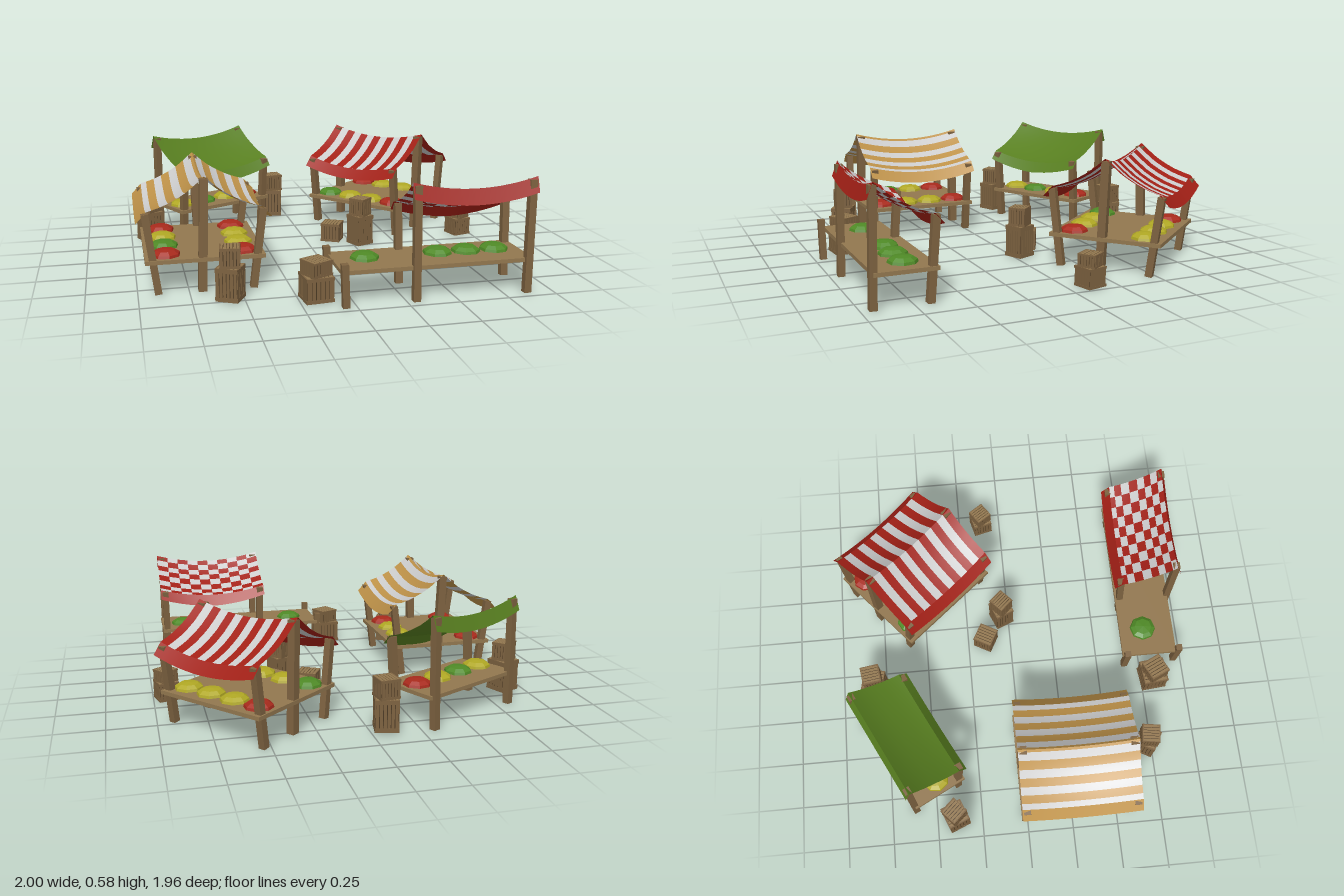
import * as THREE from 'three';

const mat = (color, extra = {}) => new THREE.MeshStandardMaterial({ color, ...extra });
const cloth2 = { side: THREE.DoubleSide };
const RED = mat(0xa32016, cloth2), WHITE = mat(0xcccccc, cloth2);
const GOLD = mat(0xbd9148, cloth2), GREEN = mat(0x587f20, cloth2);
const WOOD = mat(0x7d6240), BOARD = mat(0x92774f), DARK = mat(0x4a3822);
const FRUIT = {
  r: mat(0xa82a1c, { flatShading: true }),
  y: mat(0xb0a824, { flatShading: true }),
  g: mat(0x4f8a26, { flatShading: true }),
};
const TABLE_TOP = 0.175;

function add(parent, name, geometry, material, x = 0, y = 0, z = 0) {
  const m = new THREE.Mesh(geometry, material);
  m.name = name;
  m.position.set(x, y, z);
  parent.add(m);
  return m;
}

function group(parent, name, x = 0, z = 0, turn = 0) {
  const g = new THREE.Group();
  g.name = name;
  g.position.set(x, 0, z);
  g.rotation.y = turn;
  parent.add(g);
  return g;
}

// Square timber from one point to another
function post(parent, name, from, to, size = 0.036) {
  const a = new THREE.Vector3(...from), b = new THREE.Vector3(...to);
  const dir = b.clone().sub(a);
  const m = add(parent, name, new THREE.BoxGeometry(size, dir.length(), size), WOOD);
  m.position.copy(a).add(b).multiplyScalar(0.5);
  m.quaternion.setFromUnitVectors(new THREE.Vector3(0, 1, 0), dir.normalize());
}

// Sagging cloth: a profile of [z, y] points swept along x; pick(i, j) gives each cell's material
function cloth(parent, name, profile, length, rows, cols, pick, fringe = 0) {
  const path = new THREE.SplineCurve(profile.map(p => new THREE.Vector2(...p)));
  const pos = [], cells = new Map();
  for (let j = 0; j <= rows; j++) {
    const p = path.getPoint(j / rows);
    for (let i = 0; i <= cols; i++) {
      const t = 2 * i / cols - 1;
      const sag = 0.045 * (1 - t * t) + fringe * (j / rows) * (1 - Math.abs(t));
      pos.push(t * length / 2, p.y - sag, p.x);
    }
  }
  const all = [];
  for (let j = 0; j < rows; j++) {
    for (let i = 0; i < cols; i++) {
      const a = j * (cols + 1) + i, c = a + cols + 1;
      const quad = [a, c, a + 1, a + 1, c, c + 1];
      const m = pick(i, j);
      if (!cells.has(m)) cells.set(m, []);
      cells.get(m).push(...quad);
      all.push(...quad);
    }
  }
  const base = new THREE.BufferGeometry();
  base.setAttribute('position', new THREE.Float32BufferAttribute(pos, 3));
  base.setIndex(all);
  base.computeVertexNormals();
  for (const [m, index] of cells) {
    const g = base.clone();
    g.setIndex(index);
    add(parent, name, g, m);
  }
}

// Faceted heap of produce
const heapShape = new THREE.LatheGeometry(
  [[0.074, 0], [0.07, 0.014], [0.048, 0.029], [0, 0.034]].map(p => new THREE.Vector2(...p)), 8);
function heap(parent, kind, x, z) {
  const m = add(parent, 'produceHeap', heapShape, FRUIT[kind], x, TABLE_TOP - 0.001, z);
  m.rotation.y = Math.PI / 8 + x;
}

function table(parent, x, width, depth) {
  add(parent, 'tableTop', new THREE.BoxGeometry(width, 0.02, depth), BOARD, x, TABLE_TOP - 0.01, 0);
}

// Stall with a ridged roof; the ridge runs along local z
function gableStall(parent, name, x, z, turn, pick, trim, rows, cols, produce) {
  const stall = group(parent, name, x, z, turn);
  table(stall, 0, 0.59, 0.63);
  for (const end of [-1, 1]) {
    post(stall, 'ridgePost', [-0.02 * end, 0, end * 0.29], [0, 0.565, end * 0.29], 0.042);
    for (const s of [-1, 1])
      post(stall, 'cornerPost', [s * 0.235, 0, end * 0.29], [s * 0.287, 0.405, end * 0.29]);
  }
  for (const s of [-1, 1]) {
    const side = group(stall, 'roofSide', 0, 0, s * Math.PI / 2);
    cloth(side, 'roofCloth', [[0, 0.58], [0.09, 0.505], [0.19, 0.45], [0.28, 0.42]], 0.63, rows, cols, pick);
    cloth(side, 'valance', [[0.28, 0.42], [0.33, 0.365]], 0.63, 1, 12, () => trim);
    [...produce[s < 0 ? 0 : 1]].forEach((k, i) => heap(stall, k, s * 0.19, 0.225 - i * 0.15));
  }
}

// Stall with a single slope; the high edge faces local +z
function leanToStall(parent, name, x, z, turn, pick, trim, rows, cols, produce) {
  const stall = group(parent, name, x, z, turn);
  for (const s of [-1, 1]) {
    post(stall, 'tallPost', [s * 0.285, 0, 0.155], [s * 0.29, 0.565, 0.147]);
    post(stall, 'shortPost', [s * 0.285, 0, -0.115], [s * 0.29, 0.41, -0.145]);
  }
  cloth(stall, 'roofCloth', [[-0.135, 0.42], [-0.07, 0.44], [0.02, 0.485], [0.09, 0.53], [0.148, 0.58]],
    0.63, rows, cols, (i, j) => pick(i, j));
  cloth(stall, 'highValance', [[0.148, 0.58], [0.176, 0.505]], 0.63, 1, 12, () => trim);
  cloth(stall, 'lowValance', [[-0.135, 0.42], [-0.178, 0.37]], 0.63, 1, 12, () => trim, 0.01);
  produce.forEach(([k, px]) => heap(stall, k, px, -0.02));
  return stall;
}

// Slatted crate with rims and lid boards
function crate(parent, width, height, y, turn) {
  const c = group(parent, 'crate', 0, 0, turn);
  c.position.y = y;
  add(c, 'crateCore', new THREE.BoxGeometry(width * 0.93, height * 0.96, width * 0.93), DARK, 0, height / 2);
  const n = 6, pitch = width * 0.94 / n;
  const slat = new THREE.BoxGeometry(pitch * 0.8, height * 0.94, 0.006);
  const lid = new THREE.BoxGeometry(pitch * 0.8, 0.006, width * 0.93);
  const rim = new THREE.BoxGeometry(width, height * 0.13, 0.008);
  for (let i = 0; i < n; i++)
    add(c, 'lidBoard', lid, BOARD, (i - (n - 1) / 2) * pitch, height - 0.003, 0);
  for (let k = 0; k < 4; k++) {
    const face = group(c, 'crateSide', 0, 0, k * Math.PI / 2);
    for (let i = 0; i < n; i++)
      add(face, 'slat', slat, WOOD, (i - (n - 1) / 2) * pitch, height / 2, width * 0.47);
    for (const v of [0.065, 0.935])
      add(face, 'rim', rim, WOOD, 0, height * v, width / 2 - 0.004);
  }
}

export function createModel() {
  const market = new THREE.Group();
  market.name = 'marketStalls';

  // Ridged stalls: stripes along the ridge, and stripes down the slope
  gableStall(market, 'goldStripedStall', -0.665, 0.28, 0,
    (i, j) => (Math.floor((j + 1) / 2) % 2 ? WHITE : GOLD), GOLD, 15, 12, ['rgyr', 'ryyr']);
  gableStall(market, 'redStripedStall', 0.545, -0.53, 0.707,
    i => (i % 2 ? WHITE : RED), RED, 6, 13, ['ryyg', 'yyyr']);

  // Single-slope stalls
  const green = leanToStall(market, 'greenStall', -0.495, -0.61, -2.665, () => GREEN, GREEN, 6, 12,
    [['r', -0.23], ['y', -0.08], ['g', 0.08], ['y', 0.23]]);
  table(green, 0, 0.63, 0.31);
  const checked = leanToStall(market, 'checkedStall', 0.58, 0.79, 0,
    (i, j) => ((i + j) % 2 ? WHITE : RED), RED, 8, 10,
    [['g', -0.495], ['g', -0.12], ['g', 0.03], ['g', 0.18]]);
  checked.children.filter(m => m.name === 'produceHeap').forEach(m => { m.position.z = -0.02; });
  table(checked, -0.172, 0.965, 0.31);
  post(checked, 'endPost', [-0.645, 0, -0.13], [-0.66, 0.215, -0.13], 0.034);
  post(checked, 'endPost', [-0.635, 0, 0.165], [-0.645, 0.215, 0.168], 0.034);

  // Crate stacks: x, z, turn, then [width, height] from the ground up
  const stacks = [
    [-0.085, -0.81, -0.2, [0.12, 0.165], [0.105, 0.1]],
    [-0.89, -0.395, 0.4, [0.12, 0.17], [0.1, 0.1]],
    [-0.565, 0.715, -0.5, [0.115, 0.165], [0.1, 0.1]],
    [-0.165, 0.81, 0.1, [0.14, 0.125], [0.115, 0.075]],
    [0.155, -0.145, -0.5, [0.11, 0.105]],
    [0.295, -0.04, 0.4, [0.11, 0.17], [0.095, 0.1]],
    [0.93, -0.115, 0.25, [0.11, 0.1], [0.095, 0.065]],
  ];
  for (const [x, z, turn, ...sizes] of stacks) {
    const stack = group(market, 'crateStack', x, z, turn);
    let y = 0;
    sizes.forEach(([w, h], i) => {
      crate(stack, w, h, y, i * 0.35);
      y += h;
    });
  }
  return market;
}
